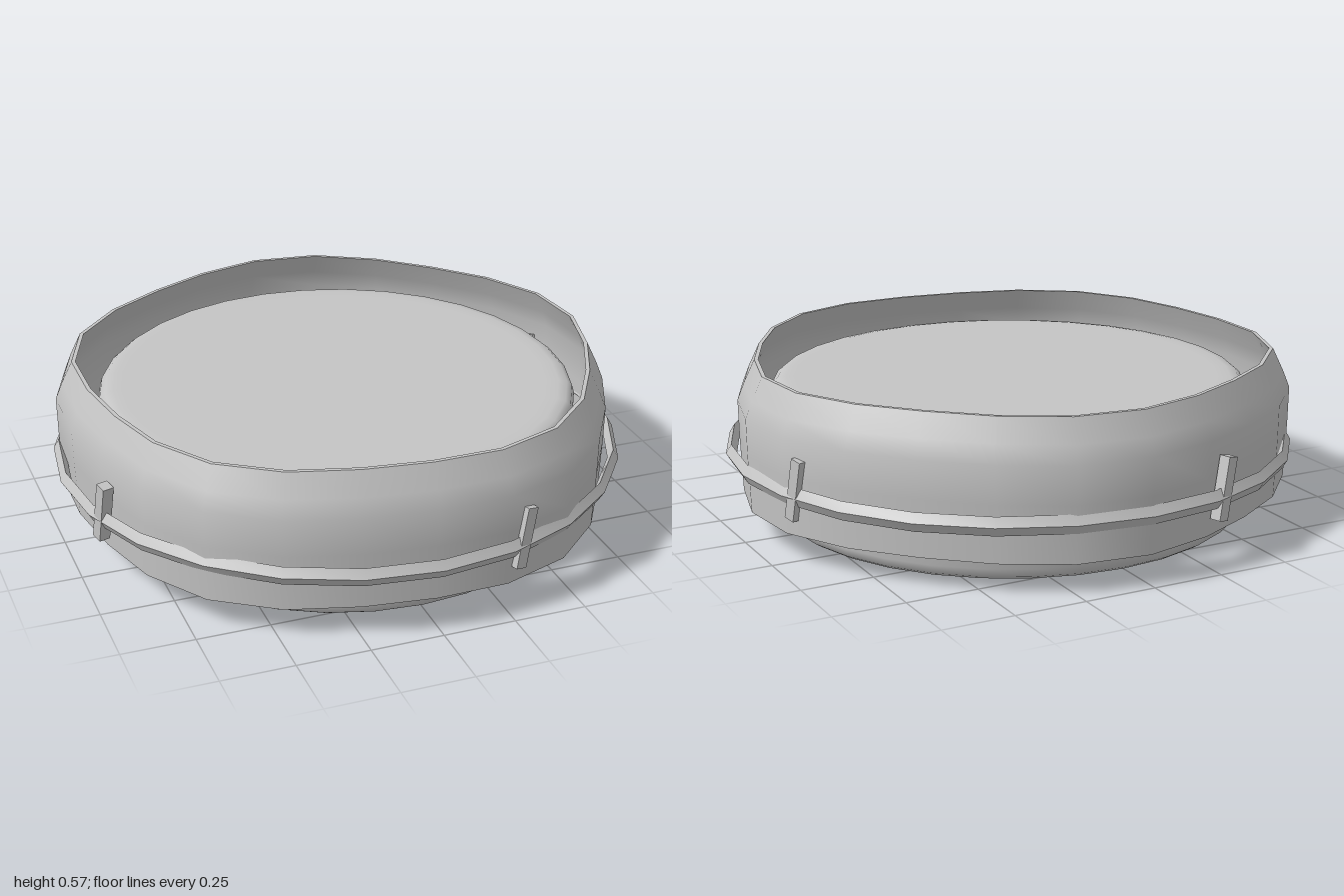
import * as THREE from 'three';
import { toCreasedNormals } from 'three/addons/utils/BufferGeometryUtils.js';

const grey = new THREE.MeshStandardMaterial({ color: 0xc4c4c4 });
grey.name = 'grey';

// Revolves a profile; wobble pushes it into a soft five-lobed outline
function revolve(name, profile, segments, wobble = 0) {
  const geo = new THREE.LatheGeometry(profile.map(([r, y]) => new THREE.Vector2(r, y)), segments);
  const p = geo.attributes.position;
  for (let i = 0; i < p.count; i++) {
    const x = p.getX(i), z = p.getZ(i), r = Math.hypot(x, z);
    if (r < 1e-4) continue;
    const lobe = wobble * Math.cos(5 * (Math.atan2(z, x) + Math.PI / 18));
    p.setX(i, x * (r + lobe) / r);
    p.setZ(i, z * (r + lobe) / r);
  }
  const mesh = new THREE.Mesh(toCreasedNormals(geo, 0.75), grey);
  mesh.name = name;
  return mesh;
}

export function createModel() {
  const model = new THREE.Group();
  model.name = 'lidAndCollar';

  // Inverted cup: flat top, open underneath, rounded edges
  model.add(revolve('innerCup', [
    [0.78, 0.035], [0.785, 0.012], [0.805, 0.002], [0.825, 0.015], [0.836, 0.045],
    [0.836, 0.43], [0.828, 0.457], [0.81, 0.472], [0.78, 0.477], [0.74, 0.477], [0, 0.477],
  ], 32));
  model.add(revolve('cupLining', [
    [0, 0.425], [0.66, 0.425], [0.71, 0.422], [0.755, 0.405], [0.778, 0.36], [0.78, 0.3], [0.78, 0.035],
  ], 32));

  // Thin wavy collar with a sloping shoulder
  model.add(revolve('collar', [
    [0.946, 0.105], [0.957, 0.105], [0.965, 0.3], [0.967, 0.43], [0.943, 0.49], [0.905, 0.57],
    [0.891, 0.57], [0.928, 0.49], [0.952, 0.425], [0.951, 0.3], [0.946, 0.105],
  ], 24, 0.024));

  // Slim sharp-edged band around the collar
  model.add(revolve('band', [
    [0.962, 0.24], [0.981, 0.208], [1, 0.24], [0.981, 0.272], [0.962, 0.24],
  ], 24));

  // Four slanted tabs, a quarter turn apart
  const tabGeo = new THREE.BoxGeometry(0.042, 0.212, 0.04);
  for (let i = 0; i < 4; i++) {
    const arm = new THREE.Group();
    arm.name = 'tab' + (i + 1);
    arm.rotation.y = 0.314 + i * Math.PI / 2;
    const tab = new THREE.Mesh(tabGeo, grey);
    tab.name = 'slantedTab';
    tab.position.set(0, 0.267, 0.973);
    tab.rotation.z = -0.2;
    arm.add(tab);
    model.add(arm);
  }
  return model;
}
